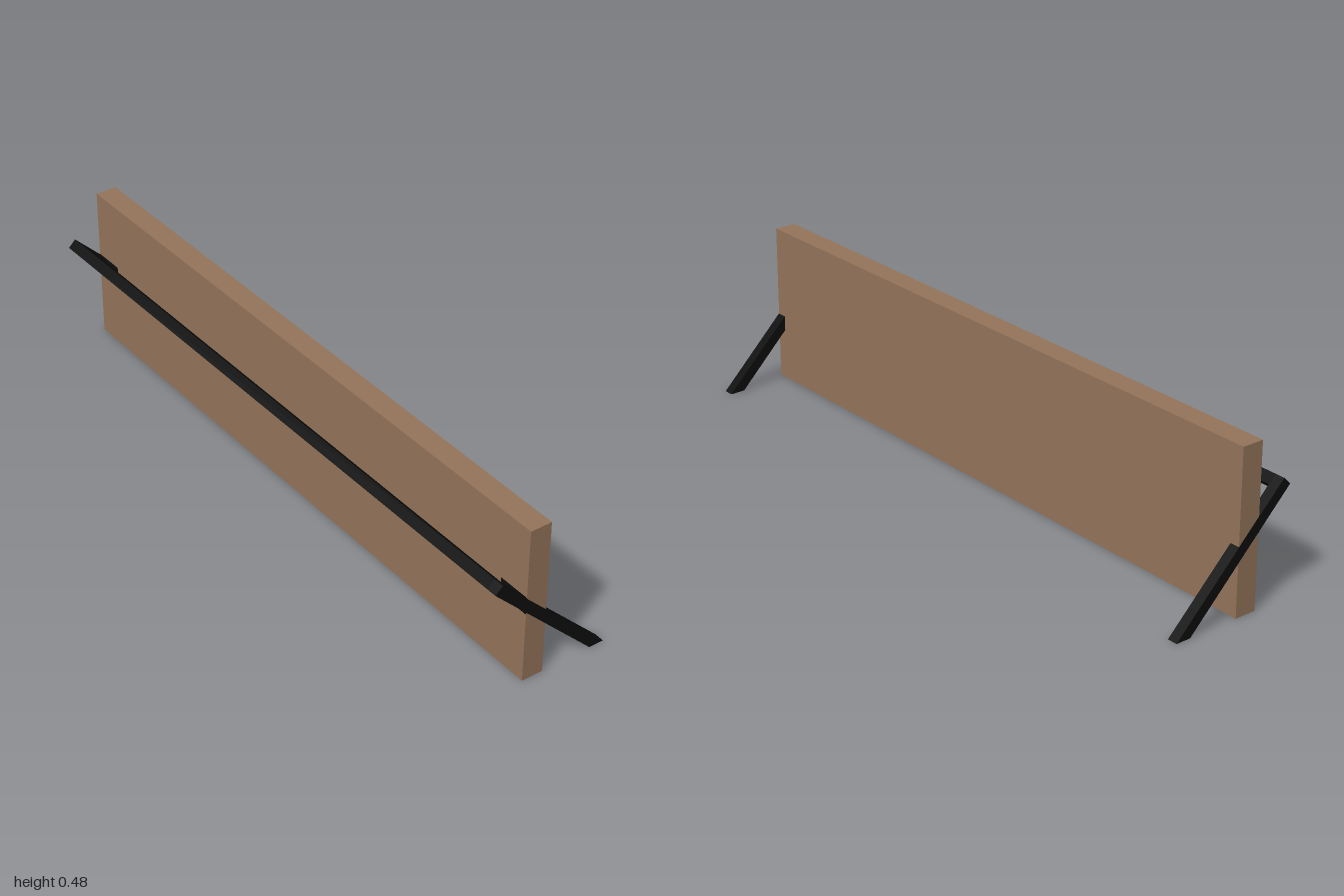
import * as THREE from 'three';

// Extrude a [z, y] outline along x, from x0 to x1
function prism(outline, x0, x1) {
  const shape = new THREE.Shape(outline.map(([z, y]) => new THREE.Vector2(-z, y)));
  const geo = new THREE.ExtrudeGeometry(shape, { depth: x1 - x0, bevelEnabled: false });
  return geo.rotateY(Math.PI / 2).translate(x0, 0, 0);
}

export function createModel() {
  const wood = new THREE.MeshStandardMaterial({ color: 0x94735a });
  wood.name = 'brown wood';
  const metal = new THREE.MeshStandardMaterial({ color: 0x0d0d0d });
  metal.name = 'black metal';

  const group = new THREE.Group();
  const add = (name, geo, material) => {
    const mesh = new THREE.Mesh(geo, material);
    mesh.name = name;
    group.add(mesh);
  };

  // Upright board
  add('board', new THREE.BoxGeometry(1.998, 0.477, 0.066).translate(0, 0.2385, 0.05), wood);

  // Slanted bars through the board ends, cut flat at the floor
  const leg = [[0.187, 0.327], [0.165, 0.349], [-0.187, 0], [-0.141, 0]];
  // Slanted sockets showing on the front of the board
  const socket = [[0.085, 0.219], [0.085, 0.272], [0.022, 0.209], [0.022, 0.156]];
  for (const [side, s] of [['left', 1], ['right', -1]]) {
    const span = (a, b) => (s > 0 ? [a, b] : [-b, -a]);
    add(side + 'Leg', prism(leg, ...span(0.969, 1)), metal);
    add(side + 'Socket', prism(socket, ...span(0.9, 0.9985)), metal);
  }

  // Square rail joining the legs at the front
  const rail = [[0.187, 0.327], [0.165, 0.349], [0.142, 0.327], [0.165, 0.305]];
  add('frontRail', prism(rail, -0.969, 0.969), metal);

  return group;
}
